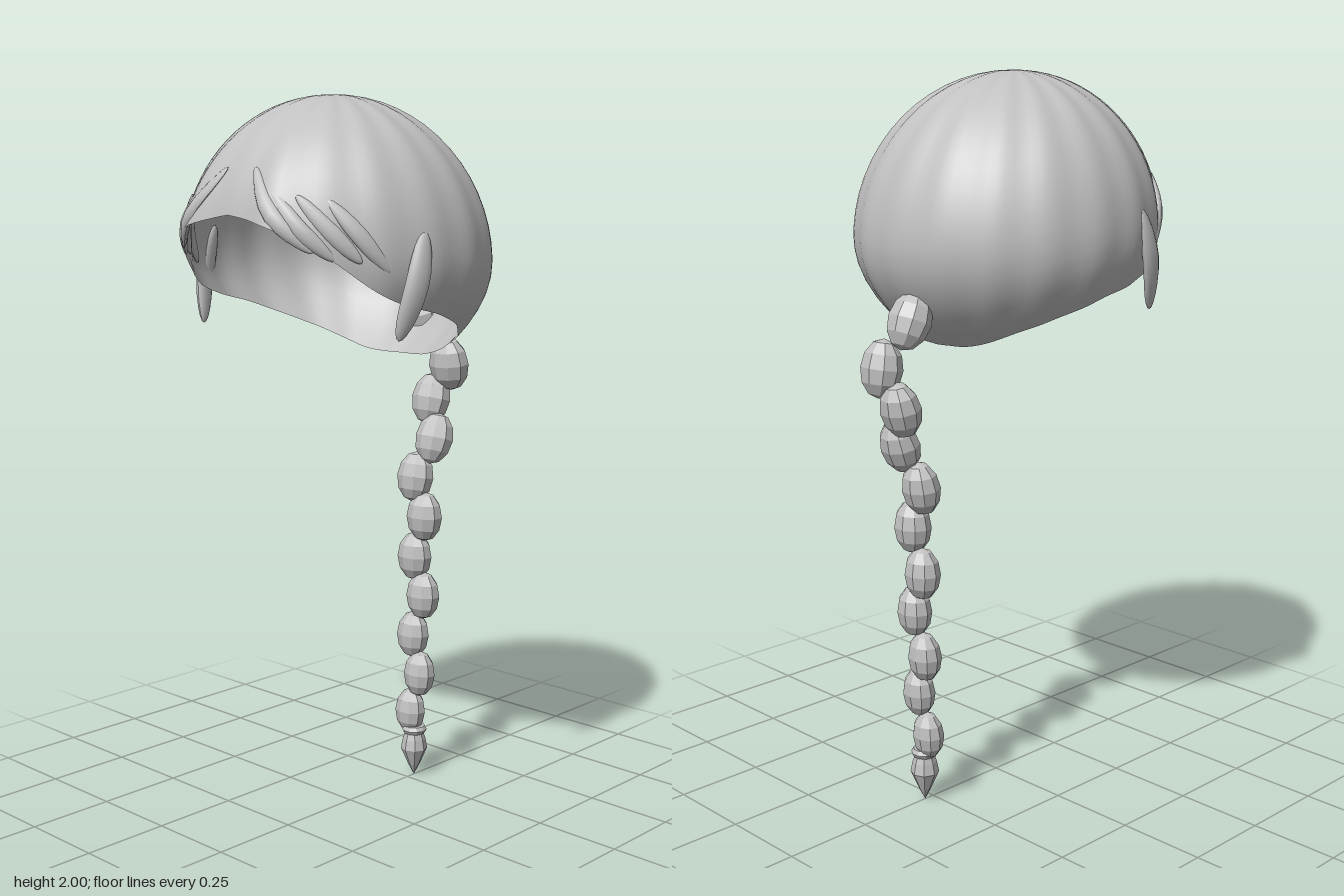
import * as THREE from 'three';

const CENTRE = new THREE.Vector3(0, 1.57, 0.04);
const RX = 0.415, RY = 0.43, RZ = 0.41;

// Height of the cap's rim from the front (0) round to the back (PI)
const rim = new THREE.SplineCurve(
  [1.69, 1.635, 1.49, 1.43, 1.36, 1.30, 1.29].map((y, i) => new THREE.Vector2(i, y)));

// Point on the hair cap: phi is measured from the front, theta from the crown
function capPoint(phi, theta, ripple = 0) {
  const s = Math.sin(theta), under = Math.max(0, (theta - Math.PI / 2) / 0.72);
  const lobe = 0.035 * Math.exp(-(((Math.abs(phi) - 0.4) / 0.22) ** 2)) * s ** 4;
  const k = s * (1 - 0.25 * under * under) * (1 + ripple * Math.cos(phi * 18));
  return new THREE.Vector3(
    Math.sin(phi) * (RX * k + lobe * 0.4),
    CENTRE.y + RY * Math.cos(theta),
    CENTRE.z + Math.cos(phi) * (RZ * k + lobe) + 0.025 * Math.cos(theta));
}

// Point on the cap found from its place in the front elevation
function capAt(x, y) {
  const theta = Math.acos((y - CENTRE.y) / RY);
  const phi = Math.asin(THREE.MathUtils.clamp(x / (RX * Math.sin(theta)), -1, 1));
  return capPoint(phi, theta);
}

// Open dome with soft pleats running down from the crown
function capGeometry() {
  const across = 108, down = 20, pos = [], idx = [];
  for (let j = 0; j <= down; j++) {
    for (let i = 0; i < across; i++) {
      const phi = (i / across) * Math.PI * 2 - Math.PI;
      const end = Math.acos((rim.getPoint(Math.abs(phi) / Math.PI).y - CENTRE.y) / RY);
      const t = j / down;
      const p = capPoint(phi, Math.max(0.001, end * t), 0.007 + 0.05 * (1 - t) ** 4);
      pos.push(p.x, p.y, p.z);
      if (j < down) {
        const a = j * across + i, b = j * across + (i + 1) % across;
        idx.push(a, a + across, b, b, a + across, b + across);
      }
    }
  }
  const g = new THREE.BufferGeometry();
  g.setAttribute('position', new THREE.Float32BufferAttribute(pos, 3));
  g.setIndex(idx);
  g.computeVertexNormals();
  return g;
}

// Flattened, tapering lock of hair: a sphere stretched along a curve
function lockGeometry(points, width, depth) {
  const curve = new THREE.CatmullRomCurve3(points);
  const g = new THREE.SphereGeometry(1, 10, 12);
  const p = g.attributes.position, v = new THREE.Vector3();
  for (let i = 0; i < p.count; i++) {
    v.fromBufferAttribute(p, i);
    const t = THREE.MathUtils.clamp((1 + v.y) / 2, 0, 1);
    const along = curve.getTangent(t), c = curve.getPoint(t);
    const side = along.clone().cross(c.clone().sub(CENTRE)).normalize();
    const out = side.clone().cross(along);
    c.addScaledVector(side, v.x * width).addScaledVector(out, v.z * depth);
    p.setXYZ(i, c.x, c.y, c.z);
  }
  g.computeVertexNormals();
  return g;
}

export function createModel() {
  const model = new THREE.Group();
  model.name = 'braidedHair';
  const hair = new THREE.MeshStandardMaterial({ color: 0xc0c0c0, side: THREE.DoubleSide });
  hair.name = 'hair grey';
  const braidHair = new THREE.MeshStandardMaterial({ color: 0xc0c0c0, flatShading: true });
  braidHair.name = 'braid grey';

  const add = (parent, name, geometry, material) => {
    const m = new THREE.Mesh(geometry, material);
    m.name = name;
    parent.add(m);
    return m;
  };

  add(model, 'hairCap', capGeometry(), hair);

  // Fringe locks sweeping outwards, and one longer lock at each temple
  const fringe = new THREE.Group();
  fringe.name = 'fringe';
  model.add(fringe);
  const sweeps = [
    [0.05, 1.81, 0.15, 1.69, 0.24, 1.60],
    [0.13, 1.75, 0.21, 1.66, 0.28, 1.58],
    [0.19, 1.74, 0.27, 1.65, 0.325, 1.575],
    [0.25, 1.73, 0.32, 1.64, 0.365, 1.55],
  ];
  for (const s of [1, -1]) {
    const label = s > 0 ? 'left' : 'right';
    for (const [ax, ay, bx, by, cx, cy] of sweeps) {
      const pts = [capAt(s * ax, ay), capAt(s * bx, by), capAt(s * cx, cy)];
      add(fringe, label + 'FringeLock', lockGeometry(pts, 0.022, 0.012), hair);
    }
    const temple = [[0.395, 1.65, 0.14], [0.40, 1.52, 0.175], [0.37, 1.38, 0.21]]
      .map(([x, y, z]) => new THREE.Vector3(s * x, y, z));
    add(fringe, label + 'TempleLock', lockGeometry(temple, 0.035, 0.018), hair);
  }

  // Braid: faceted beads alternating from side to side
  const braid = new THREE.Group();
  braid.name = 'braid';
  model.add(braid);
  const beads = [
    [-0.022, 1.37, -0.335], [0.028, 1.245, -0.39], [-0.022, 1.14, -0.37],
    [0.022, 1.03, -0.335], [-0.02, 0.915, -0.30], [0.018, 0.80, -0.298],
    [-0.018, 0.675, -0.297], [0.016, 0.56, -0.297], [-0.018, 0.435, -0.292],
    [0.014, 0.32, -0.286], [-0.016, 0.20, -0.28],
  ];
  const up = new THREE.Vector3(0, 1, 0);
  beads.forEach(([x, y, z], i) => {
    const f = i / (beads.length - 1);
    const b = add(braid, 'braidStrand', new THREE.SphereGeometry(1, 9, 6), braidHair);
    b.scale.set(0.065 - 0.016 * f, 0.08 - 0.012 * f, 0.054 - 0.014 * f);
    b.position.set(x, y, z);
    const a = beads[Math.max(0, i - 1)], c = beads[Math.min(beads.length - 1, i + 1)];
    const dir = new THREE.Vector3(0, a[1] - c[1], a[2] - c[2]).normalize();
    b.quaternion.setFromUnitVectors(up, dir);
  });

  // Band and pointed tuft at the end of the braid
  const band = add(braid, 'braidBand', new THREE.TorusGeometry(0.025, 0.013, 6, 10), braidHair);
  band.rotation.x = Math.PI / 2;
  band.position.set(0, 0.145, -0.28);
  const profile = [[0, 0], [0.018, 0.035], [0.04, 0.085], [0.034, 0.115], [0.022, 0.15], [0, 0.15]]
    .map(([r, y]) => new THREE.Vector2(r, y));
  add(braid, 'braidTip', new THREE.LatheGeometry(profile, 8), braidHair).position.z = -0.28;

  return model;
}
